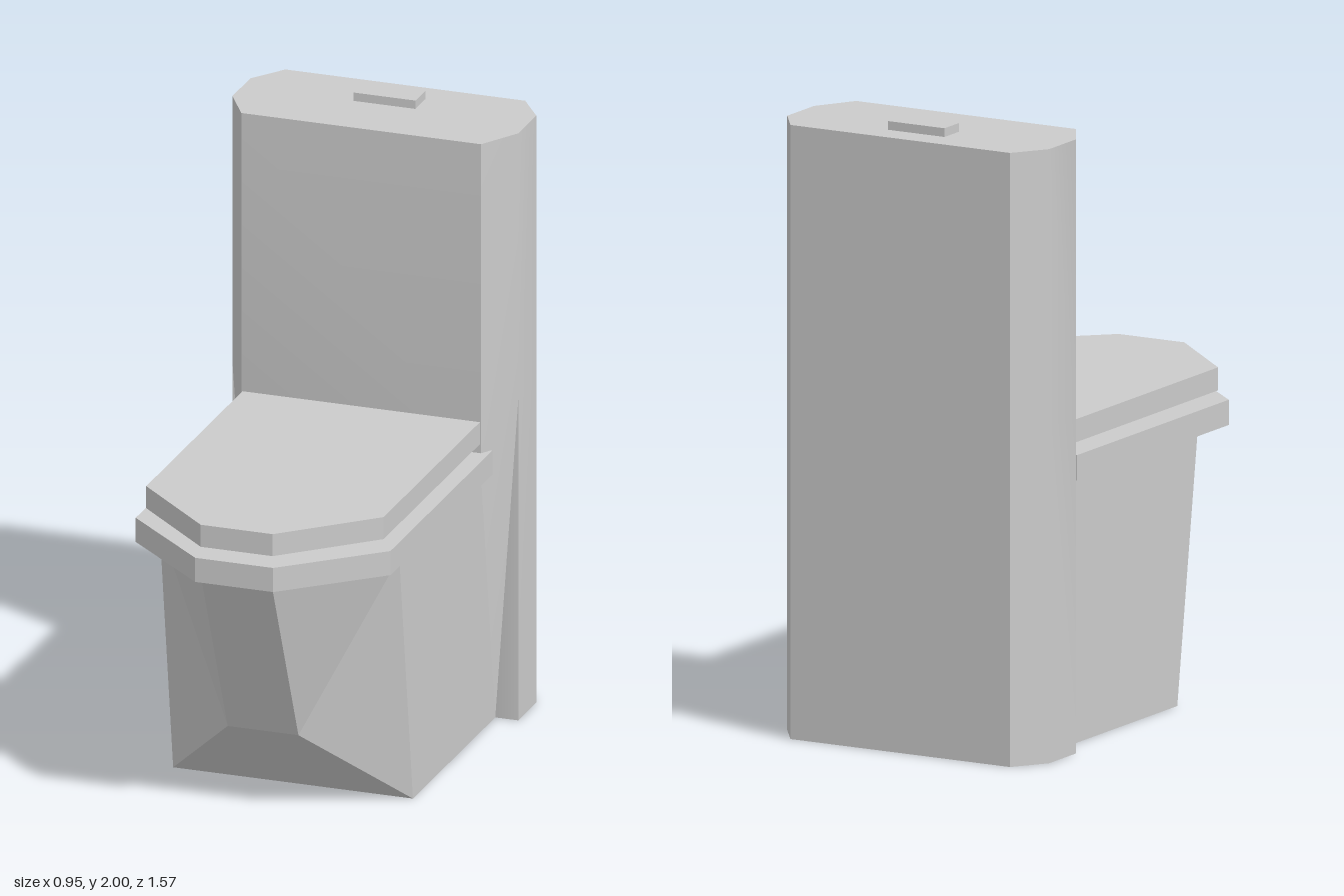
import * as THREE from 'three';
import { toCreasedNormals } from 'three/addons/utils/BufferGeometryUtils.js';

const material = new THREE.MeshStandardMaterial({ color: 0xcccccc });

// Flat polygons, each fanned from its first corner
function polygons(faces) {
  const pos = [];
  for (const f of faces)
    for (let i = 1; i < f.length - 1; i++) pos.push(...f[0], ...f[i], ...f[i + 1]);
  const g = new THREE.BufferGeometry();
  g.setAttribute('position', new THREE.Float32BufferAttribute(pos, 3));
  g.computeVertexNormals();
  return g;
}

const flip = ([x, y, z]) => [-x, y, z];
const mirrorRing = (half) => [...half, ...half.map(flip).reverse()];
// Mirrored face keeping its first corner, so the diagonal mirrors too
const mirrorFace = (f) => [f[0], ...f.slice(1).reverse()].map(flip);

// Outline of a seat or lid: straight sides, chamfered nose
function nosedSlab(halfWidth, back, shoulder, noseHalf, nose, y0, y1) {
  const s = new THREE.Shape([
    [halfWidth, back], [-halfWidth, back], [-halfWidth, shoulder],
    [-noseHalf, nose], [noseHalf, nose], [halfWidth, shoulder],
  ].map(([x, z]) => new THREE.Vector2(x, -z)));
  const g = new THREE.ExtrudeGeometry(s, { depth: y1 - y0, bevelEnabled: false });
  return g.rotateX(-Math.PI / 2).translate(0, y0, 0);
}

// Tall cistern: chamfered prism whose front recedes below the bowl rim
function cisternGeometry() {
  const side = (y, frontZ, midY = y) => mirrorRing([
    [0.4, y, frontZ], [0.477, midY, -0.51], [0.477, midY, -0.675], [0.4, y, -0.785],
  ]);
  const rings = [side(0, -0.51), side(0.855, -0.38, 1.08), side(1.972, -0.38)];
  const faces = [[...rings[0]].reverse(), rings[2]];
  for (let r = 0; r < 2; r++) {
    const [a, b] = [rings[r], rings[r + 1]];
    for (let i = 0; i < 8; i++) {
      const j = (i + 1) % 8;
      faces.push(i < 4 ? [a[i], a[j], b[j], b[i]] : [a[j], b[j], b[i], a[i]]);
    }
  }
  return toCreasedNormals(polygons(faces), 0.6);
}

// Faceted bowl: leaning sides, sloped nose and undercut toe
function bowlGeometry() {
  const toe = [0.4, 0, 0.245], heel = [0.4, 0, -0.51];
  const rimBack = [0.4, 0.855, -0.38], rimSide = [0.4, 0.855, 0.37];
  const rimNose = [0.118, 0.855, 0.76], chin = [0.118, 0.275, 0.52];
  const half = [[toe, heel, rimBack, rimSide], [chin, toe, rimSide, rimNose]];
  const across = (lo, hi) => [flip(lo), lo, hi, flip(hi)];
  return polygons([
    ...half, ...half.map(mirrorFace),
    across(chin, rimNose), across(toe, chin), across(heel, toe),
  ]);
}

export function createModel() {
  const group = new THREE.Group();
  const add = (name, geometry) => {
    const mesh = new THREE.Mesh(geometry, material);
    mesh.name = name;
    group.add(mesh);
    return mesh;
  };

  add('cistern', cisternGeometry());
  add('bowl', bowlGeometry());
  add('seat', nosedSlab(0.425, -0.415, 0.52, 0.13, 0.785, 0.853, 0.934));
  add('lid', nosedSlab(0.396, -0.385, 0.503, 0.12, 0.762, 0.964, 1.038));
  add('flushButton', new THREE.BoxGeometry(0.206, 0.04, 0.09)).position.set(-0.002, 1.98, -0.645);

  return group;
}
